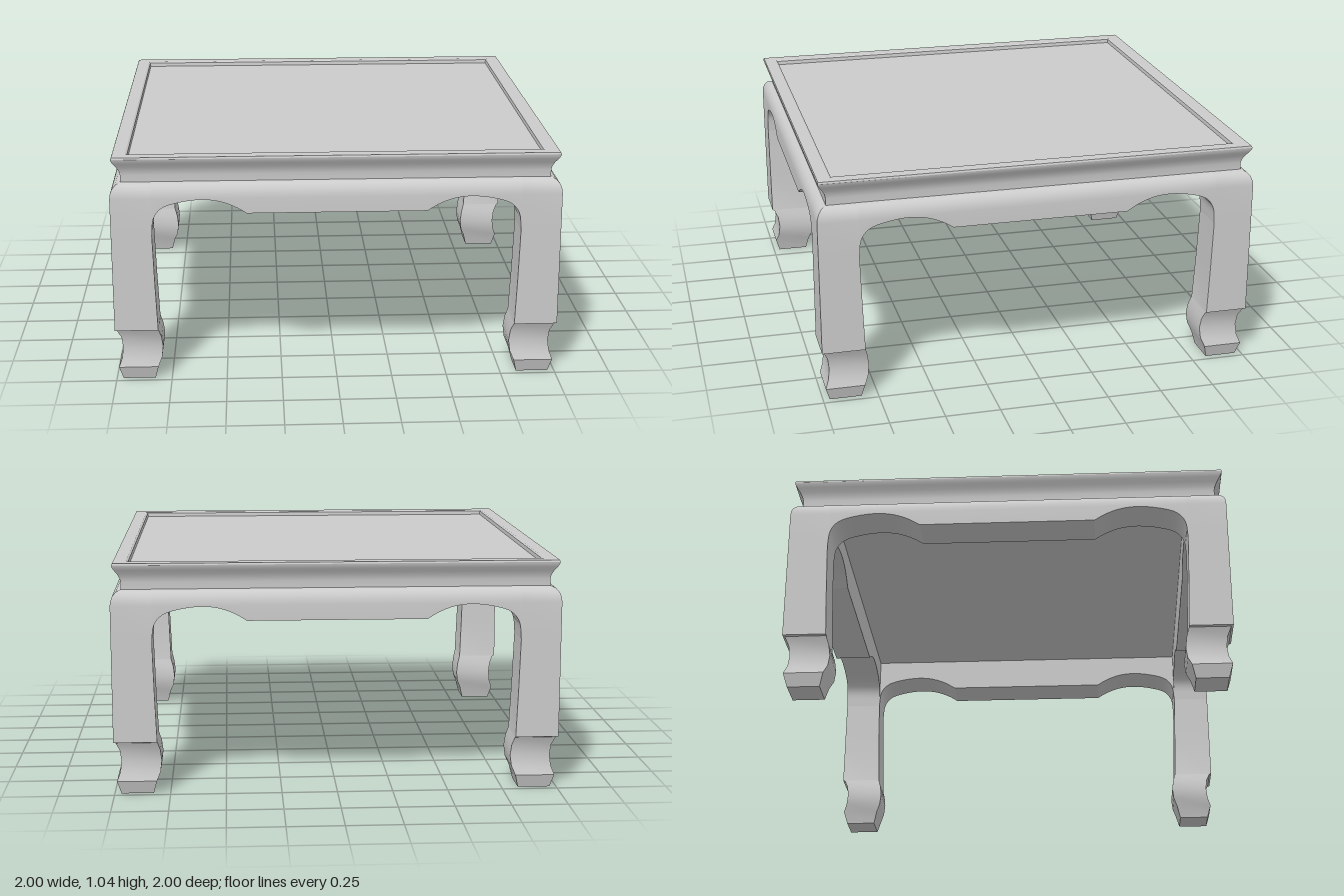
import * as THREE from 'three';
import { toCreasedNormals } from 'three/addons/utils/BufferGeometryUtils.js';

const CREASE = 0.5;
const material = new THREE.MeshStandardMaterial({ color: 0xcccccc });

// Closed solid through rings of equal point count, capped at both ends
function loft(rings) {
  const n = rings[0].length, last = (rings.length - 1) * n, index = [];
  for (let k = 0; k < rings.length - 1; k++) {
    for (let j = 0; j < n; j++) {
      const a = k * n + j, b = k * n + (j + 1) % n;
      index.push(a, b, a + n, b, b + n, a + n);
    }
  }
  for (let j = 1; j < n - 1; j++) index.push(0, j + 1, j, last, last + j, last + j + 1);
  const geometry = new THREE.BufferGeometry();
  geometry.setAttribute('position', new THREE.Float32BufferAttribute(rings.flat(2), 3));
  geometry.setIndex(index);
  return toCreasedNormals(geometry, CREASE);
}

// Rounded shoulder shared by legs and aprons: [distance from centre, height]
const shoulder = [[0.955, 0.925], [0.975, 0.917], [0.99, 0.9], [0.998, 0.878], [1, 0.858]];

// Square leg with a curved foot
function legGeometry() {
  const profile = [ // height, outer, inner
    [0, 0.97, 0.825], [0.06, 0.988, 0.81], [0.1, 0.973, 0.793], [0.15, 0.967, 0.787],
    [0.2, 0.973, 0.793], [0.238, 0.99, 0.804], [0.242, 1, 0.805], [0.45, 1, 0.813], [0.69, 1, 0.82],
    ...shoulder.map(([o, y]) => [y, o, 0.82]).reverse(),
  ];
  return loft(profile.map(([y, o, i]) => [[i, y, o], [o, y, o], [o, y, i], [i, y, i]]));
}

// Apron whose lower edge arches up and then sweeps down into the legs
function apronGeometry() {
  const edge = new THREE.CatmullRomCurve3([
    [0.4, 0.788], [0.45, 0.818], [0.52, 0.844], [0.6, 0.853], [0.7, 0.841],
    [0.775, 0.815], [0.81, 0.77], [0.82, 0.69],
  ].map(([x, y]) => new THREE.Vector3(x, y, 0))).getPoints(28);
  const stations = [
    ...edge.map((p) => [-p.x, p.y]).reverse(),
    ...edge.map((p) => [p.x, p.y]),
  ];
  return loft(stations.map(([x, bottom]) => [
    [x, 0.95, 0.82],
    ...shoulder.map(([z, y]) => [x, y, z]),
    [x, bottom, 1],
    [x, bottom, 0.82],
  ]));
}

// Square top: waist, flared moulding, raised rim and recessed panel
function topGeometry() {
  const profile = [
    [0, 0.95], [0.83, 0.95], [0.83, 0.92], [0.953, 0.92], [0.953, 0.957], [0.957, 0.975],
    [0.967, 0.995], [0.98, 1.014], [0.988, 1.028], [0.99, 1.037], [0.987, 1.045],
    [0.93, 1.045], [0.922, 1.04], [0.92, 1.022], [0, 1.022],
  ].map(([r, y]) => new THREE.Vector2(r * Math.SQRT2, y));
  const geometry = new THREE.LatheGeometry(profile, 4).rotateY(Math.PI / 4);
  return toCreasedNormals(geometry, CREASE);
}

export function createModel() {
  const table = new THREE.Group();
  table.name = 'lowTable';
  const add = (name, geometry, turn = 0) => {
    const mesh = new THREE.Mesh(geometry, material);
    mesh.name = name;
    mesh.rotation.y = turn;
    table.add(mesh);
  };

  add('tableTop', topGeometry());
  const leg = legGeometry(), apron = apronGeometry();
  const corners = ['frontLeft', 'backLeft', 'backRight', 'frontRight'];
  const sides = ['front', 'left', 'back', 'right'];
  for (let k = 0; k < 4; k++) {
    add(corners[k] + 'Leg', leg, k * Math.PI / 2);
    add(sides[k] + 'Apron', apron, k * Math.PI / 2);
  }
  return table;
}
